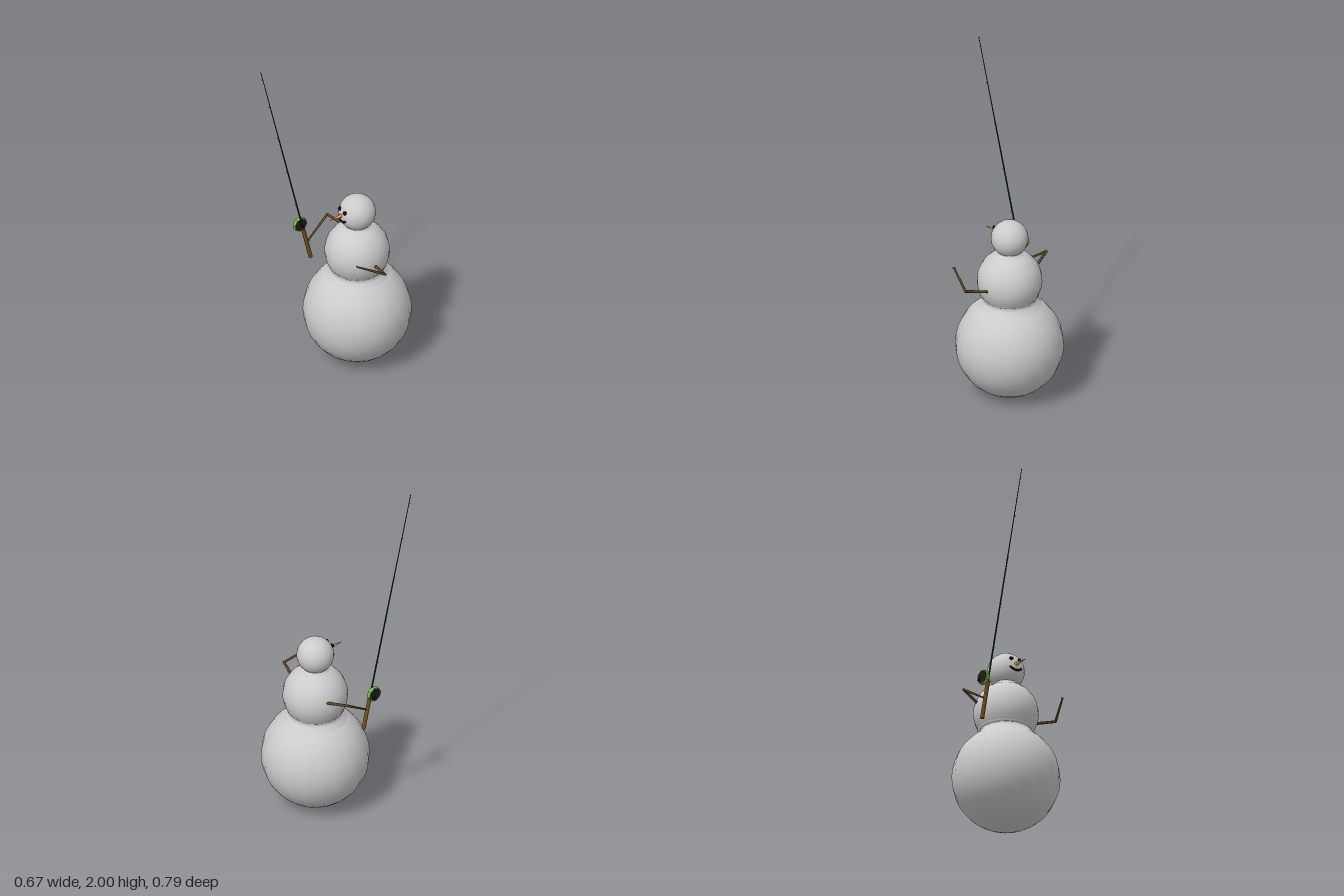
import * as THREE from 'three';

const mat = (color, extra = {}) => new THREE.MeshStandardMaterial({ color, ...extra });
const V = (x, y, z) => new THREE.Vector3(x, y, z);

export function createModel() {
  const model = new THREE.Group();
  const snow = mat(0xcccccc);
  const coal = mat(0x1c1c1c);
  const wood = mat(0x5c4522);
  const cork = mat(0x73501a);
  const blank = mat(0x17302f);
  const carrot = mat(0xe8963a);
  const green = mat(0x7cc244);

  const add = (name, geometry, material, pos, parent = model) => {
    const mesh = new THREE.Mesh(geometry, material);
    mesh.name = name;
    if (pos) mesh.position.copy(pos);
    parent.add(mesh);
    return mesh;
  };
  // Tapered stick running from a to b
  const stick = (name, a, b, r0, r1, material, parent = model, sides = 8) => {
    const dir = b.clone().sub(a);
    const mesh = add(name, new THREE.CylinderGeometry(r1, r0, dir.length(), sides), material,
      a.clone().add(b).multiplyScalar(0.5), parent);
    mesh.quaternion.setFromUnitVectors(V(0, 1, 0), dir.normalize());
    return mesh;
  };

  // Snowballs and the packed snow between them
  const cx = 0.004, cz = -0.09;
  [['base', 0.31, 0.31], ['torso', 0.187, 0.715], ['head', 0.107, 0.98]].forEach(([name, r, y]) =>
    add(name, new THREE.SphereGeometry(r, 20, 20), snow, V(cx, y, cz)));
  [
    ['waist', [[0.185, 0.558], [0.16, 0.585], [0.149, 0.604], [0.165, 0.622], [0.17, 0.64]]],
    ['neck', [[0.088, 0.879], [0.069, 0.893], [0.07, 0.902], [0.083, 0.912]]],
  ].forEach(([name, pts]) =>
    add(name, new THREE.LatheGeometry(pts.map(p => new THREE.Vector2(...p)), 20), snow, V(cx, 0, cz)));

  // Face: lump eyes, carrot nose, curved row of coal for the mouth
  const face = new THREE.Group();
  face.name = 'face';
  model.add(face);
  const onHead = (x, y, lift) =>
    V(x, y, cz + Math.sqrt(0.107 ** 2 - (x - cx) ** 2 - (y - 0.98) ** 2) + lift);
  [-0.034, 0.021].forEach((x, i) => {
    const eye = add('eye', new THREE.DodecahedronGeometry(0.012), coal, onHead(x, 1.02, 0.003), face);
    eye.rotation.set(0.4 + i, 0.7 * i, 0.3);
  });
  stick('nose', V(-0.006, 0.99, 0.005), V(-0.005, 0.991, 0.097), 0.012, 0.001, carrot, face, 10);
  for (let i = 0; i < 7; i++) {
    const t = i / 3 - 1;
    const lump = add('mouthCoal', new THREE.DodecahedronGeometry(0.0075), coal,
      onHead(-0.006 + t * 0.034, 0.952 + t * t * 0.013, 0.001), face);
    lump.rotation.set(i, i * 0.7, 0);
  }

  // Twig arms: upper stick, elbow knob, lower stick and three fingers
  const arm = (name, shoulder, elbow, hand) => {
    const g = new THREE.Group();
    g.name = name;
    model.add(g);
    const root = shoulder.clone().lerp(elbow, -0.15);
    stick('upperArm', root, elbow, 0.0085, 0.0075, wood, g);
    add('elbow', new THREE.SphereGeometry(0.0075, 8, 6), wood, elbow, g);
    stick('forearm', elbow, hand, 0.0075, 0.005, wood, g);
    const dir = hand.clone().sub(elbow).normalize();
    const side = dir.clone().cross(V(0, 1, 0)).normalize();
    [-1, 0, 1].forEach(k => {
      const tip = hand.clone().addScaledVector(dir, 0.016).addScaledVector(side, k * 0.009);
      stick('finger', hand, tip, 0.003, 0.0015, wood, g, 6);
    });
  };
  arm('leftArm', V(0.19, 0.706, -0.083), V(0.33, 0.748, -0.044), V(0.266, 0.818, 0.094));
  arm('rightArm', V(-0.168, 0.757, -0.143), V(-0.297, 0.785, -0.103), V(-0.273, 0.69, 0.042));

  // Fishing rod, built upright along y and then leaned forward
  const rod = new THREE.Group();
  rod.name = 'fishingRod';
  rod.position.set(-0.273, 0.562, 0.033);
  rod.rotation.x = Math.atan(0.2466);
  model.add(rod);
  stick('rodHandle', V(0, 0, 0), V(0, 0.222, 0), 0.012, 0.0115, cork, rod, 12);
  stick('rodLower', V(0, 0.22, 0), V(0, 0.965, 0), 0.005, 0.0038, blank, rod);
  stick('rodUpper', V(0, 0.96, 0), V(0, 1.48, 0), 0.0032, 0.002, blank, rod);
  [0.42, 0.68, 0.95, 1.2, 1.42].forEach(y => {
    const ring = add('lineGuide', new THREE.TorusGeometry(0.004, 0.001, 5, 10), blank, V(0, y, 0.006), rod);
    ring.rotation.x = Math.PI / 2;
  });

  // Reel: octagonal green rim, dark side plates, foot and crank
  const reel = new THREE.Group();
  reel.name = 'reel';
  reel.position.set(-0.032, 0.235, -0.005);
  rod.add(reel);
  const disc = (name, r, w, x, material) => {
    const g = new THREE.CylinderGeometry(r, r, w, 8).rotateY(Math.PI / 8).rotateZ(Math.PI / 2);
    add(name, g, material, V(x, 0, 0), reel);
  };
  green.flatShading = true;
  disc('reelRim', 0.044, 0.021, 0, green);
  disc('reelPlate', 0.039, 0.023, 0, coal);
  stick('reelFoot', V(0, 0, 0), V(0.032, 0, 0.003), 0.007, 0.007, coal, reel);
  stick('crankShaft', V(0, -0.006, -0.008), V(-0.019, -0.006, -0.008), 0.002, 0.002, coal, reel, 6);
  stick('crankArm', V(-0.019, -0.006, -0.006), V(-0.019, -0.022, -0.012), 0.002, 0.002, coal, reel, 6);
  stick('crankKnob', V(-0.018, -0.022, -0.012), V(-0.029, -0.022, -0.012), 0.004, 0.004, coal, reel);

  return model;
}
